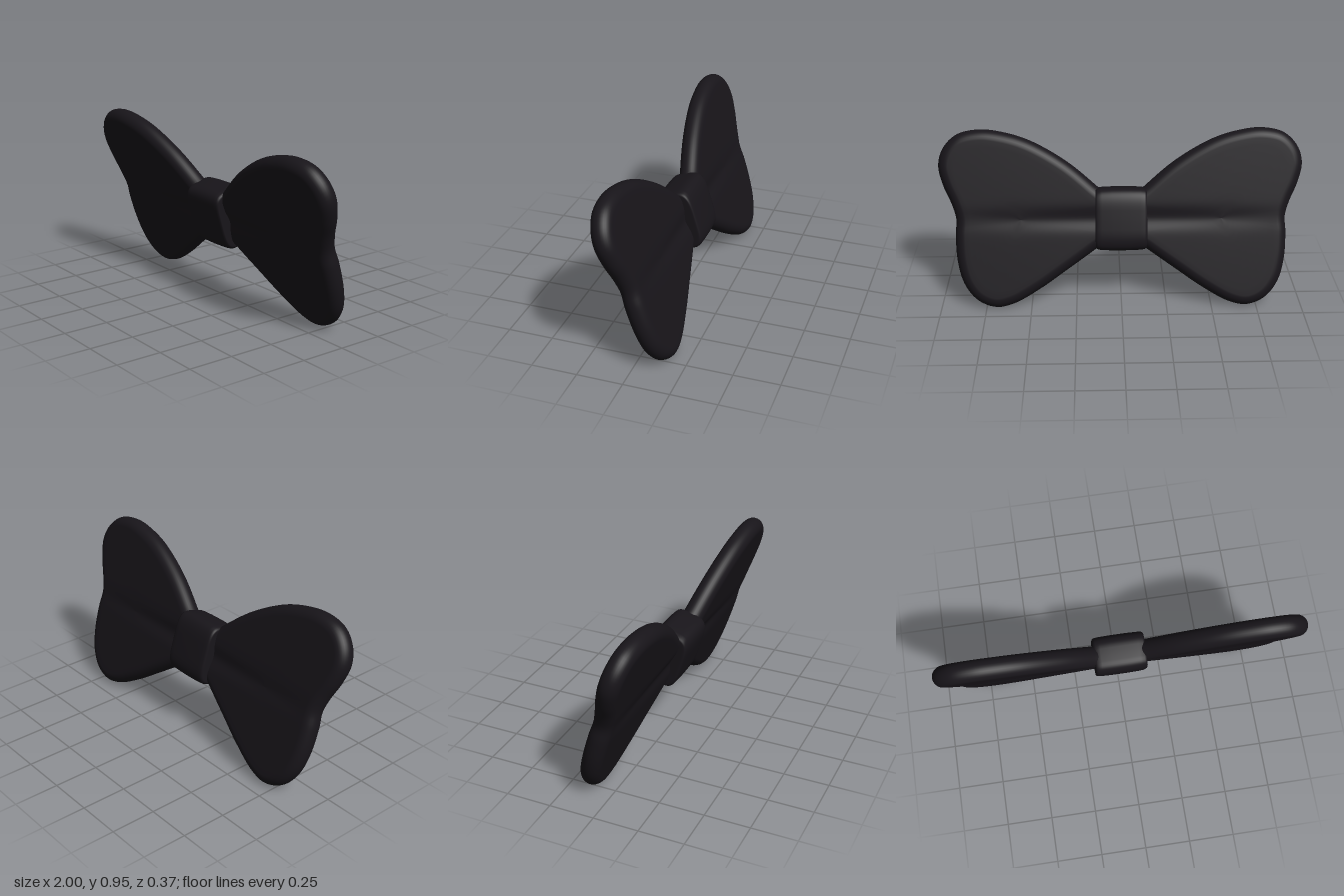
import * as THREE from 'three';

const TILT = 0.297, MID_Y = 0.477, R = 0.057;

// Smooth skin over closed rings of [x, y, z] points
function skin(rings, flip = false) {
  const n = rings[0].length, index = [];
  for (let j = 0; j < rings.length - 1; j++) {
    for (let i = 0; i < n; i++) {
      const k = (i + 1) % n;
      const a = j * n + i, b = (j + 1) * n + i, c = (j + 1) * n + k, d = j * n + k;
      if (flip) index.push(a, c, b, a, d, c);
      else index.push(a, b, c, a, c, d);
    }
  }
  const g = new THREE.BufferGeometry();
  g.setAttribute('position', new THREE.Float32BufferAttribute(rings.flat(2), 3));
  g.setIndex(index);
  g.computeVertexNormals();
  return g;
}

// Wing outline, counter-clockwise, in the plane of the bow
const OUTLINE = [
  [0.05, 0.1], [0.05, -0.1], [0.14, -0.17], [0.3, -0.285], [0.45, -0.39], [0.6, -0.473],
  [0.7, -0.491], [0.8, -0.45], [0.87, -0.36], [0.905, -0.235], [0.913, -0.08], [0.908, 0.005],
  [0.93, 0.085], [0.975, 0.19], [1.0, 0.3], [0.975, 0.392], [0.9, 0.468], [0.78, 0.496],
  [0.65, 0.482], [0.5, 0.435], [0.3, 0.32], [0.14, 0.187],
];

function wingGeometry(side) {
  const curve = new THREE.CatmullRomCurve3(OUTLINE.map(([x, y]) => new THREE.Vector3(x, y, 0)), true);
  const N = 140, cx = 0.55;
  const pts = [];
  for (let i = 0; i < N; i++) {
    const p = curve.getPointAt(i / N), t = curve.getTangentAt(i / N);
    pts.push({ x: p.x, y: p.y, nx: -t.y, ny: t.x });
  }
  // Shallow pleat running out from the knot
  const pleat = (x, y) => 1 - Math.max(0.06, 0.32 - 0.3 * x) * Math.exp(-((y / 0.05) ** 2));
  const ring = (inset, scale, z) => pts.map((p) => {
    const x = cx + (p.x + p.nx * inset - cx) * scale;
    const y = (p.y + p.ny * inset) * scale;
    return [side * x, y, z * pleat(x, y)];
  });
  const front = [];
  for (let k = 0; k <= 12; k++) front.push([R, k / 12, R]);
  for (let k = 7; k >= 0; k--) {
    const a = (k / 8) * Math.PI / 2;
    front.push([R * (1 - Math.cos(a)), 1, R * Math.sin(a)]);
  }
  const back = front.slice(0, -1).reverse().map(([d, s, z]) => [d, s, -z]);
  return skin([...front, ...back].map((r) => ring(...r)), side < 0);
}

// Knot: rounded-box section carried along x with softened ends
function knotGeometry() {
  const half = [[0.14, 0], [0.14, 0.8], [0.141, 0.88], [0.138, 0.93], [0.128, 0.967], [0.105, 0.985], [0.05, 0.998]];
  const rows = [...half, [0, 1], ...half.slice().reverse().map(([x, s]) => [-x, s])];
  const power = (v) => Math.sign(v) * Math.sqrt(Math.abs(v));
  return skin(rows.map(([x, s]) => Array.from({ length: 64 }, (_, i) => {
    const a = (i / 64) * Math.PI * 2;
    return [x, 0.175 * s * power(Math.cos(a)), 0.107 * s * power(Math.sin(a))];
  })));
}

export function createModel() {
  const model = new THREE.Group();
  model.name = 'bowTie';
  const cloth = new THREE.MeshStandardMaterial({ color: 0x18151a });

  const bow = new THREE.Group();
  bow.name = 'bow';
  bow.position.y = MID_Y;
  bow.rotation.x = TILT;
  model.add(bow);

  const add = (name, geometry) => {
    const mesh = new THREE.Mesh(geometry, cloth);
    mesh.name = name;
    bow.add(mesh);
  };
  add('leftWing', wingGeometry(1));
  add('rightWing', wingGeometry(-1));
  add('knot', knotGeometry());
  return model;
}
